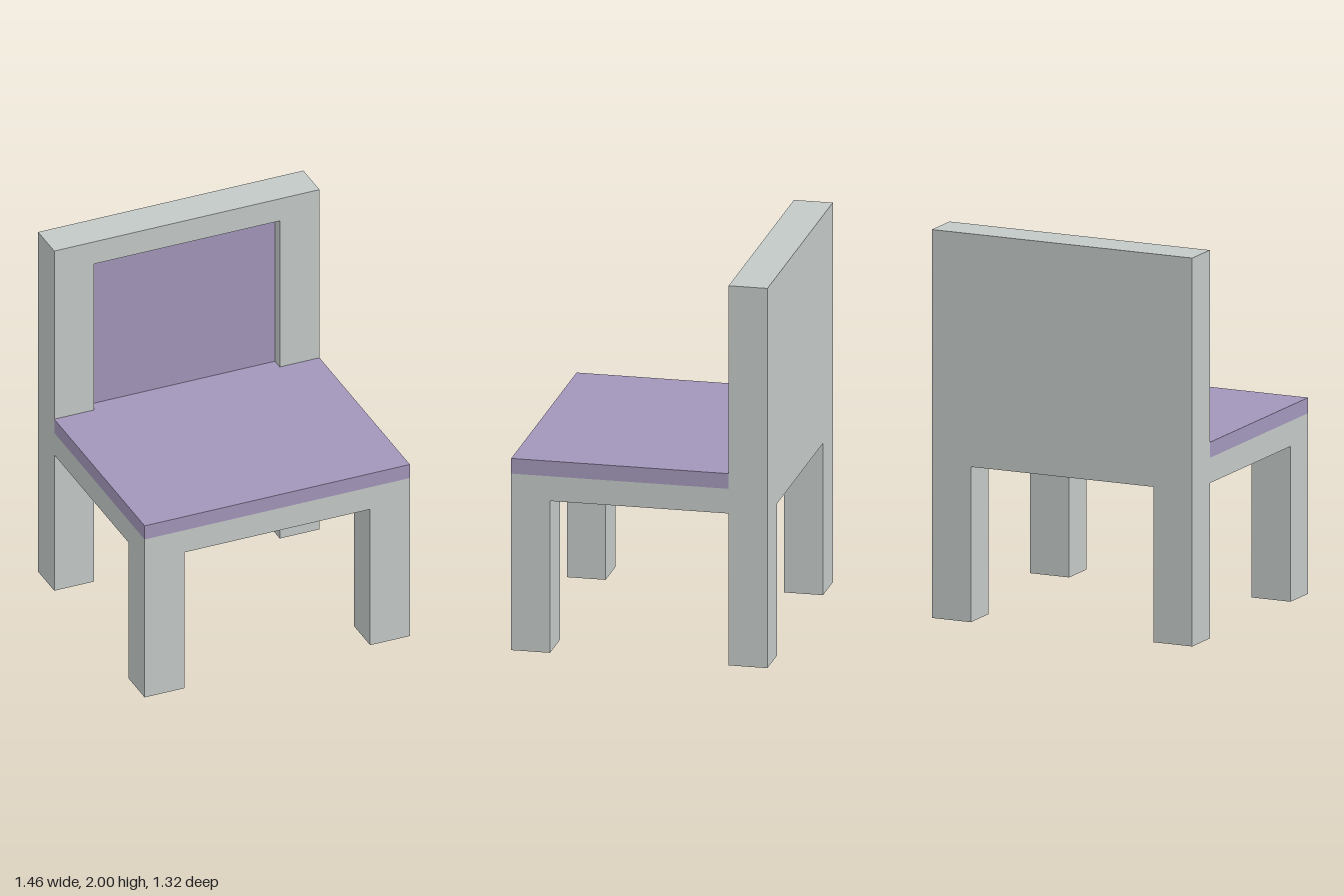
import * as THREE from 'three';

export function createModel() {
  const chair = new THREE.Group();
  chair.name = 'chair';
  const frameGrey = new THREE.MeshStandardMaterial({ color: 0xc3c9c7 });
  frameGrey.name = 'frame grey';
  const cushionPurple = new THREE.MeshStandardMaterial({ color: 0xa296ba });
  cushionPurple.name = 'cushion purple';

  // Box given by its lower and upper corner
  function box(name, material, [x0, y0, z0], [x1, y1, z1]) {
    const mesh = new THREE.Mesh(new THREE.BoxGeometry(x1 - x0, y1 - y0, z1 - z0), material);
    mesh.position.set((x0 + x1) / 2, (y0 + y1) / 2, (z0 + z1) / 2);
    mesh.name = name;
    chair.add(mesh);
  }

  const W = 0.728, D = 0.66;         // half width and half depth
  const inX = 0.51, inZ = 0.46;      // inner faces of the legs
  const seatY = 0.80, padY = 0.93, topY = 1.01;
  const boardZ = -0.525;             // front of the backboard, inside the recess
  const panelZ = boardZ + 0.005;

  // Four legs
  for (const [side, x0, x1] of [['right', -W, -inX], ['left', inX, W]]) {
    box(side + 'FrontLeg', frameGrey, [x0, 0, inZ], [x1, seatY, D]);
    box(side + 'BackLeg', frameGrey, [x0, 0, -D], [x1, seatY, -inZ]);
    // Post beside the recess in the backrest
    box(side + 'BackPost', frameGrey, [x0, padY, boardZ], [x1, 2, -inZ]);
  }

  // Seat: grey base, purple cushion and its tongue reaching into the recess
  box('seatBase', frameGrey, [-W, seatY, boardZ], [W, padY, D]);
  box('seatCushion', cushionPurple, [-W, padY, -inZ], [W, topY, D]);
  box('seatCushionTongue', cushionPurple, [-inX, padY, boardZ], [inX, topY, -inZ]);

  // Backrest: board, top rail and recessed panel
  box('backBoard', frameGrey, [-W, seatY, -D], [W, 2, boardZ]);
  box('backTopRail', frameGrey, [-inX, 1.87, boardZ], [inX, 2, -inZ]);
  box('backPanel', cushionPurple, [-inX, topY, boardZ], [inX, 1.87, panelZ]);

  return chair;
}
